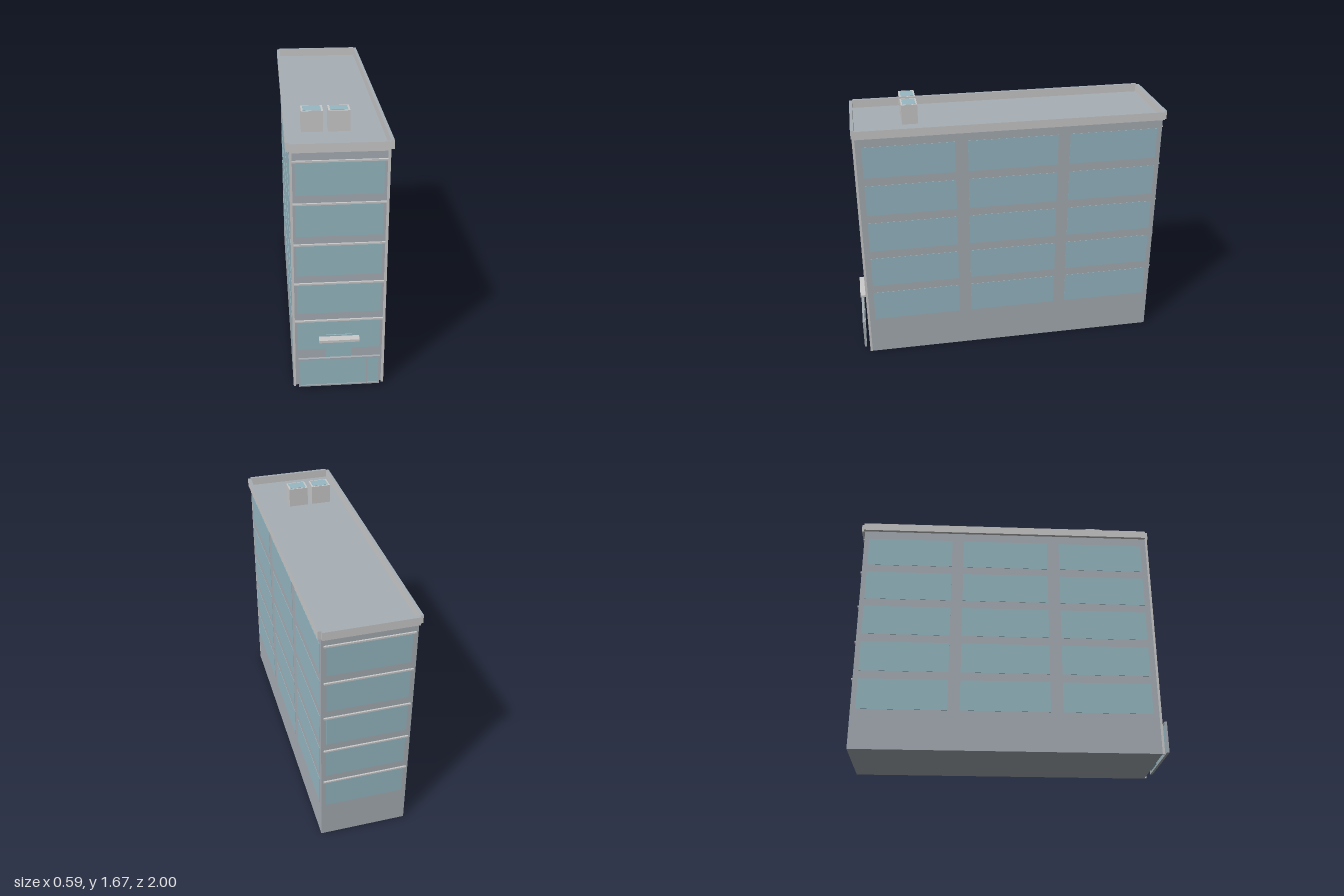
import * as THREE from 'three';

const paint = (color) => new THREE.MeshStandardMaterial({ color });

export function createModel() {
  const model = new THREE.Group();
  model.name = 'officeBlock';
  const wall = paint(0xa7afb5), trim = paint(0xcccccc), glass = paint(0x98b9c4);

  // Box given by its min and max on each axis
  const box = (name, material, [x0, x1], [y0, y1], [z0, z1], parent = model) => {
    const mesh = new THREE.Mesh(new THREE.BoxGeometry(x1 - x0, y1 - y0, z1 - z0), material);
    mesh.position.set((x0 + x1) / 2, (y0 + y1) / 2, (z0 + z1) / 2);
    mesh.name = name;
    parent.add(mesh);
    return mesh;
  };

  const W = 0.277, roofY = 1.545, front = 0.947, back = -0.977;

  // Main block with its flat roof
  box('body', wall, [-W, W], [0, roofY], [back, front]);

  // Corner pilasters on the street front
  for (const s of [-1, 1]) {
    const outer = s * W, inner = s * 0.263;
    box('pilaster', trim, [Math.min(outer, inner), Math.max(outer, inner)], [0, roofY], [front, 0.962]);
  }

  // Five floors of windows: three bays per side, one wide one front and back
  const bays = [[0.345, 0.91], [-0.303, 0.265], [-0.945, -0.38]];
  for (let floor = 0; floor < 5; floor++) {
    const y = 0.258 + floor * 0.2565, rows = [y, y + 0.202];
    for (const bay of bays) {
      box('sideWindow', glass, [W - 0.01, W + 0.002], rows, bay);
      box('sideWindow', glass, [-W - 0.002, -W + 0.01], rows, bay);
    }
    box('frontWindow', glass, [-0.247, 0.247], rows, [front - 0.01, front + 0.002]);
    box('backWindow', glass, [-0.247, 0.247], rows, [back - 0.002, back + 0.01]);
    const strip = [y + 0.2, y + 0.21];
    box('frontLintel', trim, [-0.263, 0.263], strip, [front, front + 0.011]);
    box('backLintel', trim, [-0.263, 0.263], strip, [back - 0.01, back]);
  }

  // Parapet of four slabs, open at the outer corners
  const slab = [trim, trim, wall, trim, trim, trim];
  const rim = [roofY, 1.597];
  box('parapetLeft', slab, [W, 0.297], rim, [back - 0.006, front]);
  box('parapetRight', slab, [-0.297, -W], rim, [back - 0.006, front]);
  box('parapetFront', slab, [-W, W], rim, [front, 0.967]);
  box('parapetBack', slab, [-W, W], rim, [-1, back]);

  // Rooftop units with glazed tops
  for (const x of [-0.133, 0.023]) {
    const unit = new THREE.Group();
    unit.name = 'rooftopUnit';
    model.add(unit);
    box('unitCasing', trim, [x - 0.063, x + 0.063], [roofY, 1.67], [0.55, 0.65], unit);
    box('unitSkylight', glass, [x - 0.052, x + 0.052], [1.66, 1.672], [0.56, 0.64], unit);
  }

  // Entrance glass and canopy
  box('entranceGlass', glass, [-0.078, 0.078], [0, 0.36], [front - 0.01, 0.955]);
  box('canopy', trim, [-0.121, 0.121], [0.335, 0.351], [0.955, 1]);

  // Shopfront screen: frame with a wide pane and a narrow door
  const rect = (path, x0, x1, y0, y1) =>
    path.moveTo(x0, y0).lineTo(x1, y0).lineTo(x1, y1).lineTo(x0, y1).closePath();
  const outline = rect(new THREE.Shape(), -0.247, 0.247, 0.02, 0.222);
  const panes = [[-0.238, 0.164], [0.172, 0.238]];
  for (const [x0, x1] of panes) {
    outline.holes.push(rect(new THREE.Path(), x0, x1, 0.029, 0.213));
    box('shopfrontPane', glass, [x0, x1], [0.029, 0.213], [0.987, 0.993]);
  }
  const frame = new THREE.Mesh(
    new THREE.ExtrudeGeometry(outline, { depth: 0.015, bevelEnabled: false }), wall);
  frame.name = 'shopfrontFrame';
  frame.position.z = 0.983;
  model.add(frame);

  return model;
}
